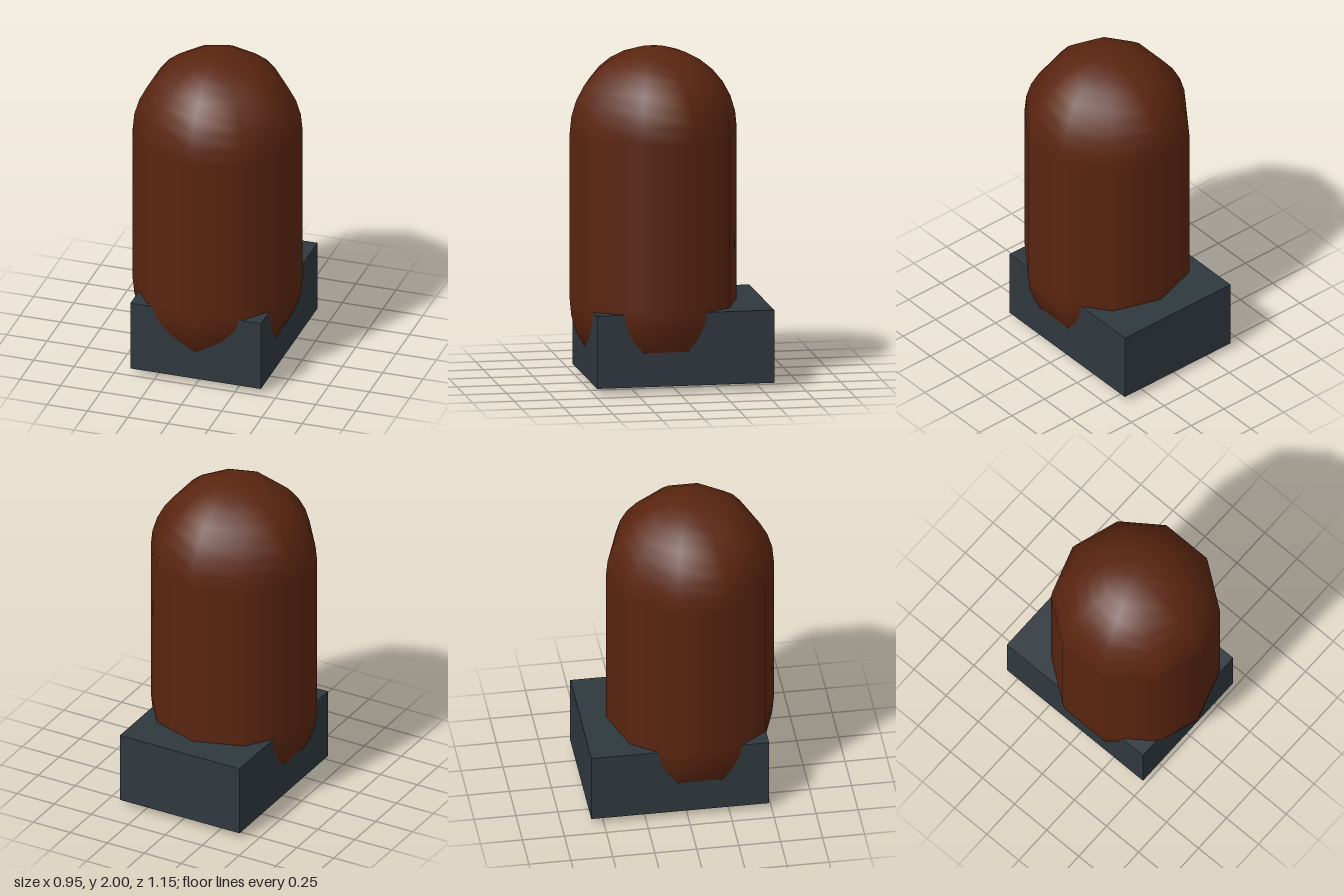
import * as THREE from 'three';

export function createModel() {
  const model = new THREE.Group();
  const rust = new THREE.MeshStandardMaterial({ color: 0x5a2510 });
  rust.name = 'rust brown';
  const slate = new THREE.MeshStandardMaterial({ color: 0x2f383e });
  slate.name = 'dark slate';

  // Ten-sided upright capsule, turned so a corner faces front
  const capsule = new THREE.CapsuleGeometry(0.5, 1, 8, 10);
  capsule.rotateY(Math.PI / 2);
  const body = new THREE.Mesh(capsule, rust);
  body.name = 'body';
  body.position.set(0, 1, 0.075);
  model.add(body);

  // Block around the foot of the capsule, reaching further back
  const base = new THREE.Mesh(new THREE.BoxGeometry(0.81, 0.436, 1.06), slate);
  base.name = 'base';
  base.position.set(0, 0.256, -0.045);
  model.add(base);

  return model;
}
